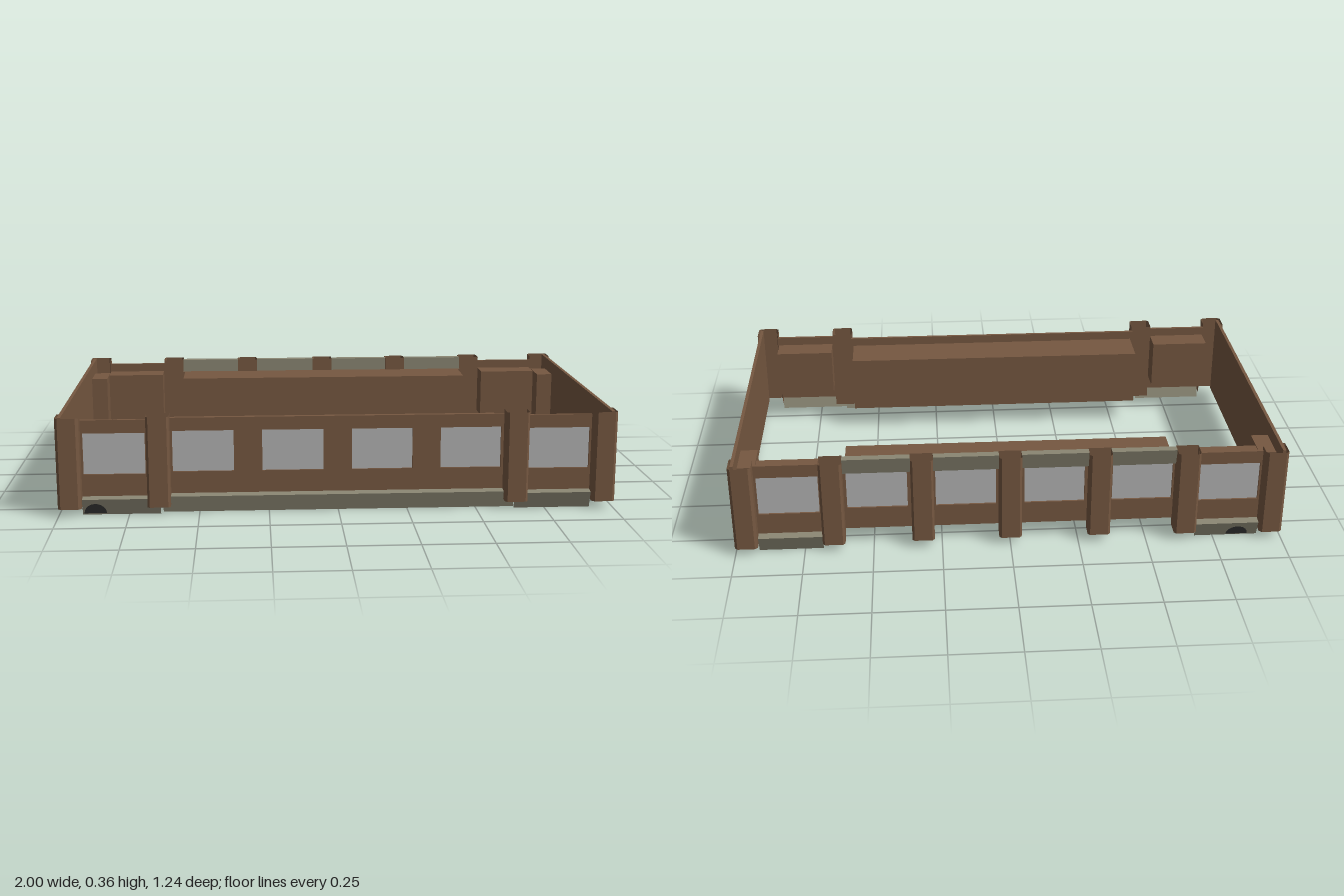
import * as THREE from 'three';

const material = (name, color) => {
  const m = new THREE.MeshStandardMaterial({ color, side: THREE.DoubleSide });
  m.name = name;
  return m;
};

export function createModel() {
  const model = new THREE.Group();
  model.name = 'buildingStorey';
  const brown = material('brownStone', 0x765841);
  const stone = material('greyStone', 0x8a8673);
  const glass = material('paleGlass', 0xb4b4b4);
  const dark = material('darkRecess', 0x363636);

  const add = (name, geometry, mat, x = 0, y = 0, z = 0) => {
    const mesh = new THREE.Mesh(geometry, mat);
    mesh.name = name;
    mesh.position.set(x, y, z);
    model.add(mesh);
    return mesh;
  };

  // Flat-faced sheet stretched between two matching polylines
  const sheet = (a, b) => {
    const p = [];
    for (let i = 0; i < a.length - 1; i++) {
      p.push(...a[i], ...a[i + 1], ...b[i + 1], ...a[i], ...b[i + 1], ...b[i]);
    }
    const g = new THREE.BufferGeometry();
    g.setAttribute('position', new THREE.Float32BufferAttribute(p, 3));
    g.computeVertexNormals();
    return g;
  };

  // Upright hollow shaft following a plan of [x, z] points
  const shaft = (name, plan) => add(name, sheet(
    plan.map(([x, z]) => [x, 0.03, z]), plan.map(([x, z]) => [x, 0.36, z])), brown);

  // Moulding: a [z, y] profile run from x0 to x1
  const moulding = (name, x0, x1, profile) => add(name, sheet(
    profile.map(([z, y]) => [x0, y, z]), profile.map(([z, y]) => [x1, y, z])), stone);

  // Wall sheet with rectangular openings [u0, v0, u1, v1]
  const T = 0.012;
  const wallGeometry = (x0, y0, x1, y1, openings) => {
    const rect = (path, a, b, c, d) =>
      path.moveTo(a, b).lineTo(c, b).lineTo(c, d).lineTo(a, d).closePath();
    const shape = rect(new THREE.Shape(), x0, y0, x1, y1);
    for (const [a, b, c, d] of openings) shape.holes.push(rect(new THREE.Path(), a, b, c, d));
    return new THREE.ExtrudeGeometry(shape, { depth: T, bevelEnabled: false });
  };

  const windowWall = (name, x0, x1, y0, y1, z, side, centres) => {
    const openings = centres.map(c => [c - 0.11, 0.145, c + 0.11, 0.295]);
    add(name, wallGeometry(x0, y0, x1, y1, openings), brown, 0, 0, side > 0 ? z - T : -z);
    for (const c of centres) {
      add('windowPane', new THREE.BoxGeometry(0.22, 0.15, 0.004), glass, c, 0.22, side * (z - 0.009));
    }
  };

  const room = (name, x0, x1, y0, y1, z0, z1) => add(name,
    new THREE.BoxGeometry(x1 - x0, y1 - y0, z1 - z0), brown,
    (x0 + x1) / 2, (y0 + y1) / 2, (z0 + z1) / 2);

  const pillar = (x, out, s) => {
    const w = 0.041, c = 0.008;
    shaft('pillar', [[x - w, 0.54], [x - w, out - c], [x - w + c, out], [x + w - c, out],
      [x + w, out - c], [x + w, 0.54], [x - w, 0.54]].map(([px, pz]) => [px, pz * s]));
  };

  for (const s of [1, -1]) {
    const face = s > 0 ? 'front' : 'back';

    // Middle bay and the room behind it
    windowWall(face + 'MiddleWall', -0.605, 0.605, 0.06, s > 0 ? 0.343 : 0.31, 0.545, s,
      [-0.485, -0.163, 0.16, 0.482]);
    const m = [0.375 * s, 0.533 * s].sort((a, b) => a - b);
    room(face + 'MiddleRoom', -0.595, 0.595, 0.09, 0.31, m[0], m[1]);

    for (const e of [1, -1]) {
      // End bay, its room and its plinth
      const [x0, x1] = [0.683 * e, 0.918 * e].sort((a, b) => a - b);
      windowWall(face + 'EndWall', x0, x1, 0.06, 0.343, 0.57, s, [0.8 * e]);
      const z = [0.465 * s, 0.558 * s].sort((a, b) => a - b);
      room(face + 'EndRoom', x0 + 0.004, x1 - 0.004, 0.12, 0.31, z[0], z[1]);
      const inner = (s > 0 ? 0.638 : 0.683) * e;
      moulding(face + 'EndPlinth', inner, 0.916 * e,
        [[0.57 * s, 0.065], [0.6 * s, 0.06], [0.579 * s, 0]]);

      // Bay pillar and chamfered corner pier
      pillar(0.643 * e, 0.61, s);
      shaft('cornerPier', [[0.917, 0.56], [0.917, 0.61], [0.927, 0.62], [0.99, 0.62],
        [1, 0.61], [1, 0.545], [0.99, 0.545]].map(([x, pz]) => [x * e, pz * s]));
    }

    // Small dark vent at the foot of the plinth
    const vent = add('plinthVent', new THREE.CircleGeometry(0.04, 10, 0, Math.PI), dark,
      s > 0 ? -0.87 : -0.84, 0.006, s * 0.584);
    vent.rotation.x = s * 0.337;
  }

  // Front plinth and the back cornice between its extra pillars
  moulding('frontMiddlePlinth', -0.63, 0.64, [[0.545, 0.065], [0.575, 0.06], [0.56, 0]]);
  for (const x of [-0.325, 0, 0.318]) pillar(x, 0.6, -1);
  for (const [a, b] of [[-0.602, -0.366], [-0.284, -0.041], [0.041, 0.277], [0.359, 0.602]]) {
    moulding('backCornice', a, b, [[-0.545, 0.3], [-0.545, 0.36], [-0.575, 0.36], [-0.56, 0.297]]);
  }

  // Side walls, each with one dark opening and a closet behind it
  for (const e of [1, -1]) {
    const wall = add('sideWall', wallGeometry(-0.6, 0.03, 0.6, 0.36,
      [[e > 0 ? 0.4 : -0.495, 0.1, e > 0 ? 0.495 : -0.4, 0.3]]), brown, e * 0.992 - e * T, 0, 0);
    wall.rotation.y = e * Math.PI / 2;
    add('sideOpening', new THREE.BoxGeometry(0.004, 0.2, 0.095), dark, e * 0.982, 0.2, -0.4475);
    const [x0, x1] = [0.916 * e, 0.979 * e].sort((a, b) => a - b);
    room('sideCloset', x0, x1, 0.09, 0.31, -0.52, -0.385);
  }
  return model;
}
